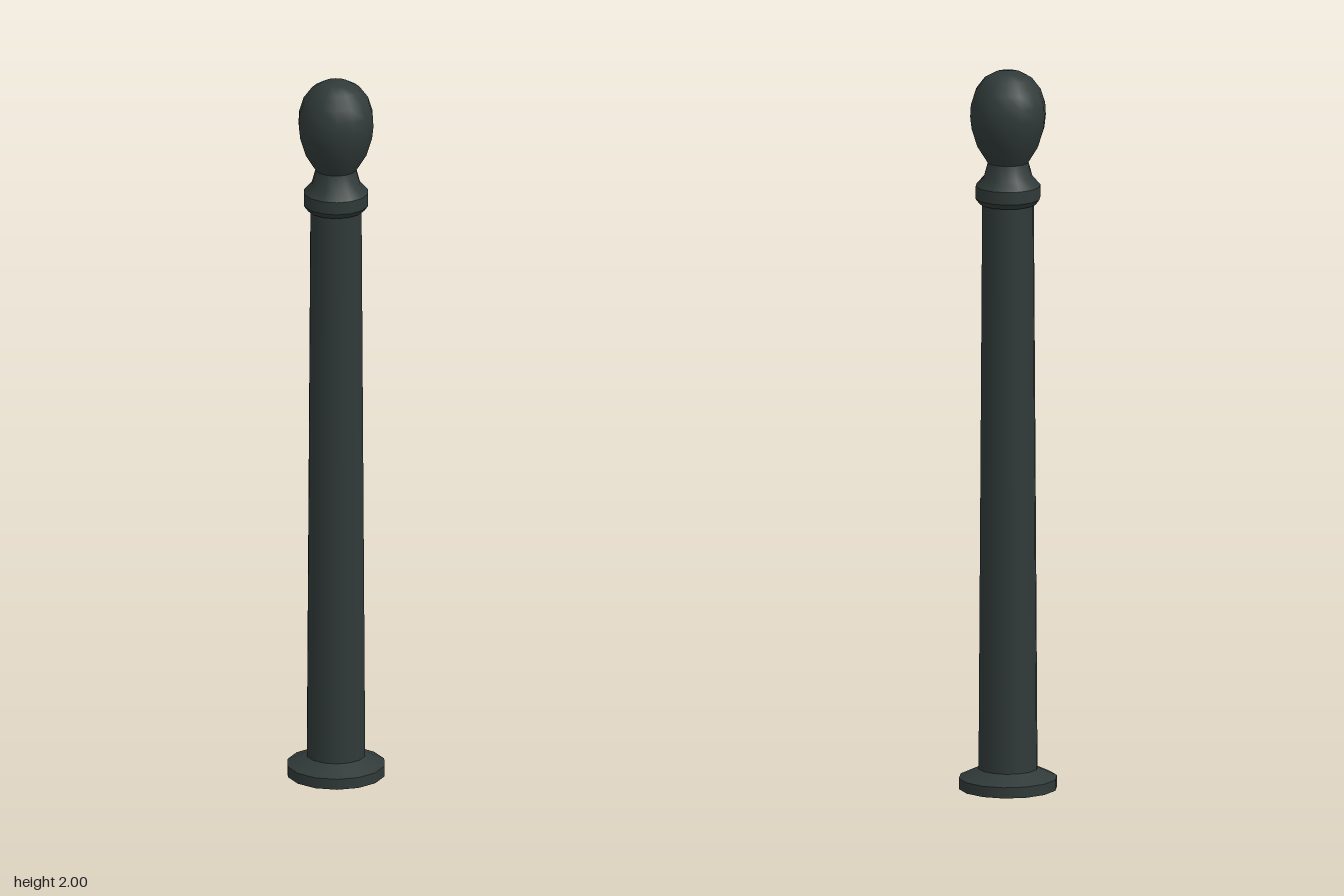
import * as THREE from 'three';
import { mergeGeometries } from 'three/addons/utils/BufferGeometryUtils.js';

const SIDES = 14;

// One turned strip, smooth along its profile, with a corner on the x axis
function strip(points) {
  const profile = points.map(([r, y]) => new THREE.Vector2(r, y));
  return new THREE.LatheGeometry(profile, SIDES, Math.PI / 2);
}

// Turned part with a sharp edge at every profile point
function sharp(points) {
  return mergeGeometries(points.slice(1).map((p, i) => strip([points[i], p])));
}

export function createModel() {
  const group = new THREE.Group();
  const iron = new THREE.MeshStandardMaterial({ color: 0x303a38 });
  iron.name = 'dark painted iron';

  const add = (name, geometry) => {
    const mesh = new THREE.Mesh(geometry, iron);
    mesh.name = name;
    group.add(mesh);
  };

  // Foot plate with a sloped top
  add('base', sharp([[0, 0], [0.135, 0], [0.135, 0.03], [0.081, 0.055]]));

  // Slightly tapering post
  add('shaft', strip([[0.081, 0.055], [0.071, 1.635]]));

  // Ring below the finial
  add('collar', sharp([[0.071, 1.63], [0.078, 1.63], [0.089, 1.645], [0.089, 1.68]]));

  // Concave neck
  add('neck', strip([[0.089, 1.68], [0.067, 1.705], [0.056, 1.745]]));

  // Egg-shaped finial
  add('finial', strip([
    [0.054, 1.742], [0.084, 1.79], [0.1, 1.84], [0.104, 1.875], [0.102, 1.908],
    [0.09, 1.946], [0.066, 1.978], [0.036, 1.995], [0, 2],
  ]));

  return group;
}
